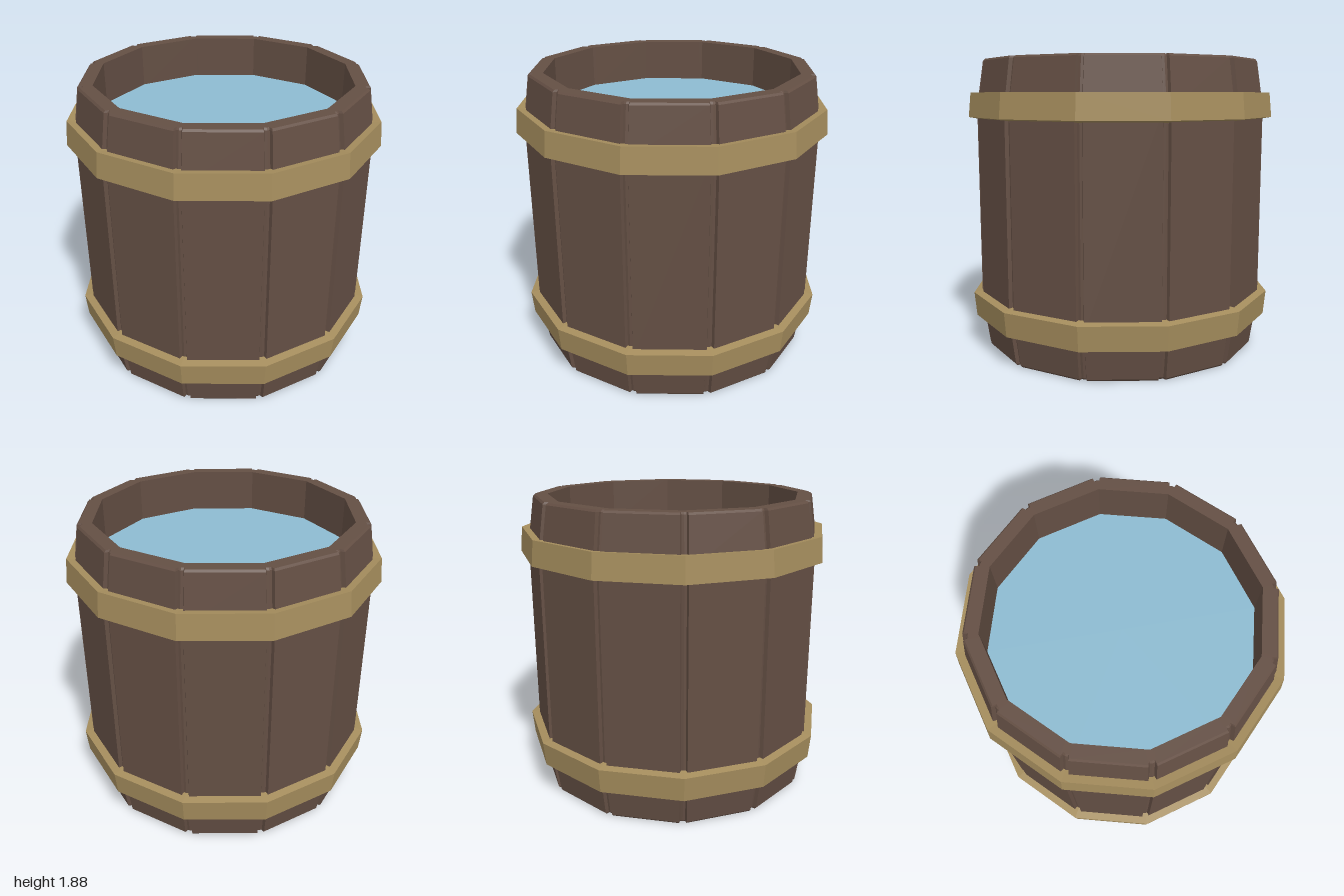
import * as THREE from 'three';

const SIDES = 12;
const STEP = (Math.PI * 2) / SIDES;
const INNER = 0.81;

// Twelve-sided outline with a small groove cut into every corner
function staveLoop(radius, y, depth) {
  const corner = (k, r) => new THREE.Vector3(Math.sin(k * STEP) * r, y, Math.cos(k * STEP) * r);
  const along = (k, dir, r, dist) => {
    const v = corner(k, r);
    return v.addScaledVector(corner(k + dir, r).sub(v).normalize(), dist);
  };
  const pts = [];
  for (let k = 0; k < SIDES; k++) {
    pts.push(
      along(k, -1, radius, 0.024), along(k, -1, radius - depth, 0.015),
      corner(k, radius - depth),
      along(k, 1, radius - depth, 0.015), along(k, 1, radius, 0.024));
  }
  return pts;
}

// Joins successive loops with flat faces
function loft(loops) {
  const pos = [];
  for (let i = 0; i < loops.length - 1; i++) {
    const lo = loops[i], hi = loops[i + 1], n = lo.length;
    for (let j = 0; j < n; j++) {
      const m = (j + 1) % n;
      for (const p of [lo[j], lo[m], hi[m], lo[j], hi[m], hi[j]]) pos.push(p.x, p.y, p.z);
    }
  }
  const g = new THREE.BufferGeometry();
  g.setAttribute('position', new THREE.Float32BufferAttribute(pos, 3));
  g.computeVertexNormals();
  return g;
}

// Slice of the twelve-sided floor between two z values
function plankGeometry(z0, z1) {
  const half = z => {
    const a = Math.abs(z);
    for (let k = 0; k < 3; k++) {
      const za = INNER * Math.sin(k * STEP), zb = INNER * Math.sin((k + 1) * STEP);
      if (a <= zb + 1e-6) {
        return INNER * THREE.MathUtils.lerp(Math.cos(k * STEP), Math.cos((k + 1) * STEP), (a - za) / (zb - za));
      }
    }
    return 0;
  };
  const zs = [z0, z1];
  for (let k = -2; k <= 2; k++) {
    const z = INNER * Math.sin(k * STEP);
    if (z > z0 && z < z1) zs.push(z);
  }
  zs.sort((a, b) => a - b);
  const right = zs.map(z => new THREE.Vector2(half(z), z));
  const left = zs.map(z => new THREE.Vector2(-half(z), z)).reverse();
  const g = new THREE.ExtrudeGeometry(new THREE.Shape([...right, ...left]), { depth: 0.025, bevelEnabled: false });
  return g.rotateX(Math.PI / 2).translate(0, 0.095, 0);
}

export function createModel() {
  const group = new THREE.Group();
  const material = (name, color) => {
    const m = new THREE.MeshStandardMaterial({ color, flatShading: true });
    m.name = name;
    return m;
  };
  const wood = material('dark wood', 0x644f44);
  const brass = material('brass', 0xa58d5d);
  const water = material('water', 0x8dbbd1);

  const add = (name, geometry, mat) => {
    const mesh = new THREE.Mesh(geometry, mat);
    mesh.name = name;
    group.add(mesh);
    return mesh;
  };

  // Staves: inside foot, outer wall, rim and inside wall (radius, height, groove depth)
  const profile = [
    [INNER, 0.1, 0], [INNER, 0, 0], [0.895, 0, 0.025], [0.906, 0.012, 0.025],
    [0.95, 0.3, 0.025], [0.95, 1.58, 0.025],
    [0.906, 1.868, 0.025], [0.895, 1.88, 0.025], [INNER, 1.88, 0], [INNER, 1.6, 0],
  ];
  add('staves', loft(profile.map(p => staveLoop(...p))), wood);

  // Hoops: the lower one mirrors the upper one
  const section = [[0.925, 1.502], [1.0, 1.515], [0.985, 1.67], [0.91, 1.66]];
  const hoop = pts => new THREE.LatheGeometry(pts.map(p => new THREE.Vector2(...p)), SIDES);
  add('upperHoop', hoop(section), brass);
  add('lowerHoop', hoop(section.map(([r, y]) => [r, 1.88 - y]).reverse()), brass);

  // Water surface
  const surface = new THREE.CircleGeometry(INNER, SIDES).rotateX(-Math.PI / 2);
  add('waterSurface', surface, water).position.y = 1.61;

  // Floor: planks with narrow gaps below a backing board
  const backing = new THREE.CircleGeometry(INNER, SIDES).rotateX(Math.PI / 2);
  add('floorBacking', backing, wood).position.y = 0.09;
  const count = 5, width = (INNER * 2) / count;
  for (let i = 0; i < count; i++) {
    const z = -INNER + i * width;
    add('floorPlank', plankGeometry(z + 0.008, z + width - 0.008), wood);
  }
  return group;
}
